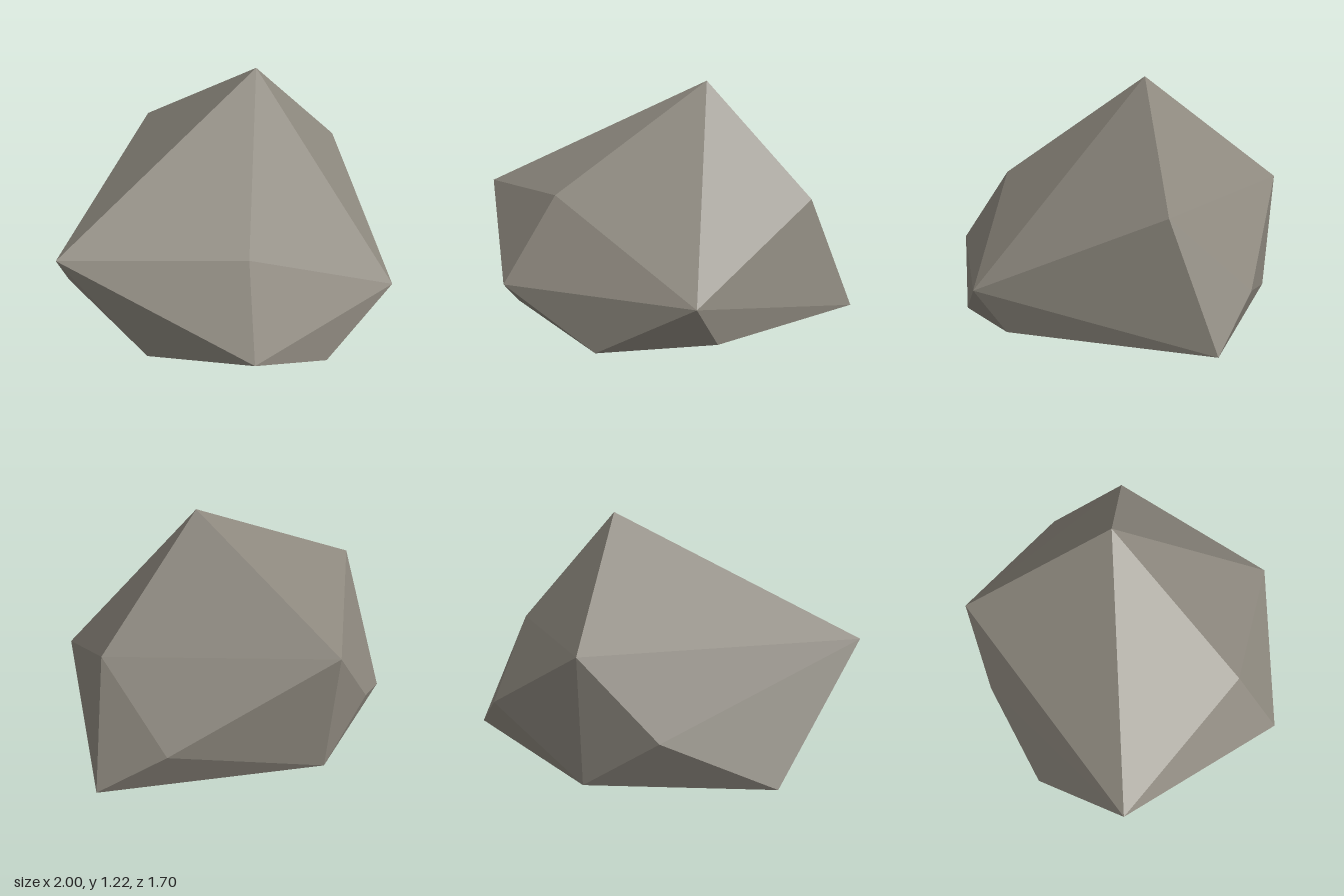
import * as THREE from 'three';
import { ConvexGeometry } from 'three/addons/geometries/ConvexGeometry.js';

export function createModel() {
  const group = new THREE.Group();
  group.name = 'boulder';

  const stone = new THREE.MeshStandardMaterial({ color: 0x8d887e });
  stone.name = 'warm grey stone';

  // Corners of the faceted rock, from the peak down to the ground
  const corners = [
    [0.23, 1.215, -0.05], // peak
    // shoulder
    [-1, 0.65, -0.3], [-0.48, 0.67, 0.43], [0.77, 0.62, 0.12], [0.25, 0.66, -0.85],
    // waist
    [-0.69, 0.275, 0.62], [0.22, 0.24, 0.85], [0.83, 0.25, -0.29], [-0.11, 0.28, -0.845],
    // foot
    [-0.24, 0, 0.75], [0.31, 0.045, 0.72], [1, 0.04, 0],
    [0.245, 0.05, -0.8], [-0.63, 0.038, -0.71], [-0.785, 0.03, 0.02],
  ].map((p) => new THREE.Vector3(...p));

  // Flat facets stretched over the corners
  const rock = new THREE.Mesh(new ConvexGeometry(corners), stone);
  rock.name = 'rock';
  group.add(rock);

  return group;
}
